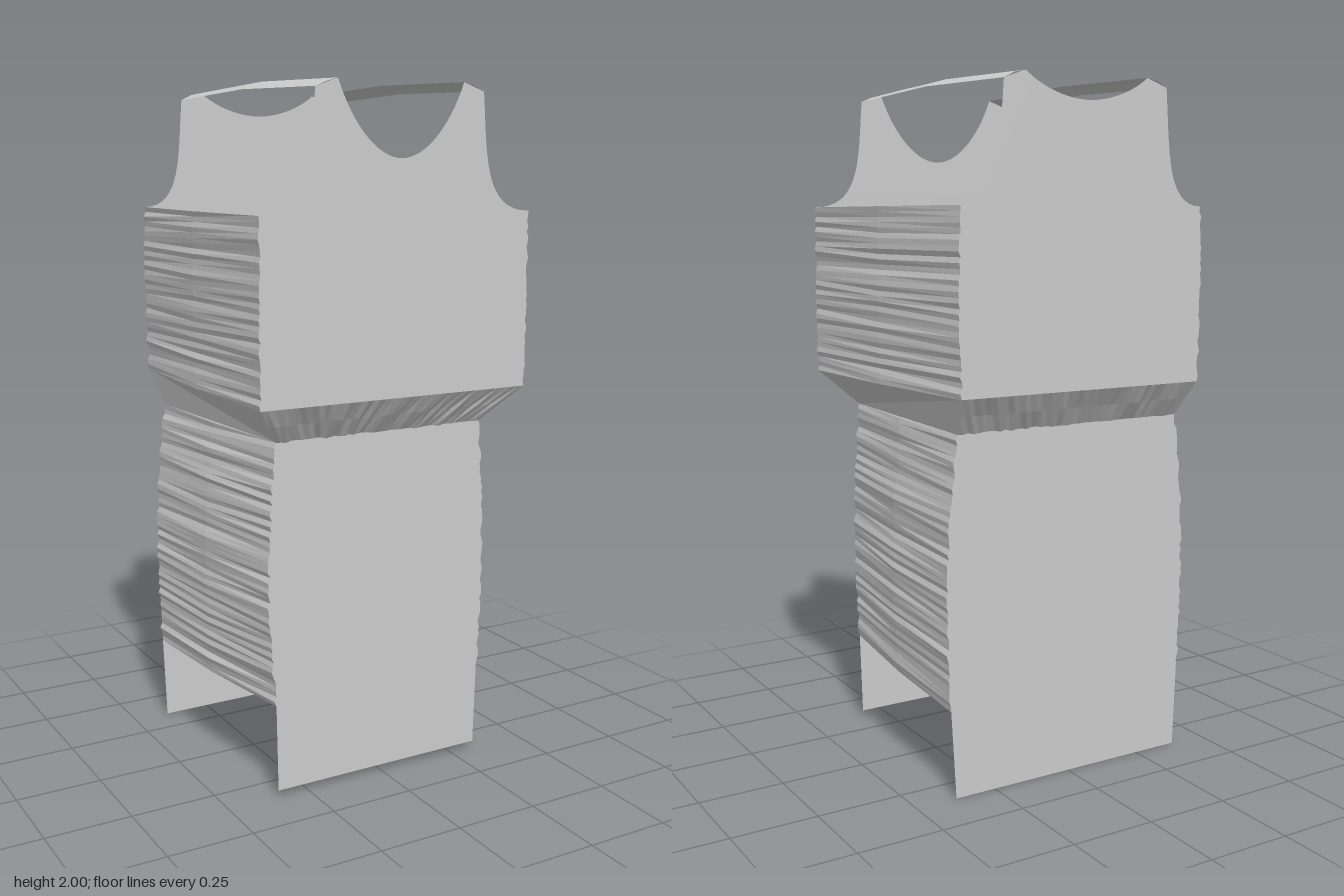
import * as THREE from 'three';

const material = new THREE.MeshStandardMaterial({ color: 0xcccccc, flatShading: true, side: THREE.DoubleSide });
const lerp = THREE.MathUtils.lerp;

// repeatable jitter in -1..1 for the gathered fabric
const noise = (i, seed) => {
  const s = Math.sin(i * 12.9898 + seed * 78.233) * 43758.5453;
  return (s - Math.floor(s)) * 2 - 1;
};

// surface spanned by rows of [x, y, z] points
function sheet(name, rows) {
  const w = rows[0].length, index = [];
  for (let r = 0; r < rows.length - 1; r++) {
    for (let c = 0; c < w - 1; c++) {
      const a = r * w + c, b = a + w;
      index.push(a, a + 1, b, a + 1, b + 1, b);
    }
  }
  const geometry = new THREE.BufferGeometry();
  geometry.setAttribute('position', new THREE.Float32BufferAttribute(rows.flat(2), 3));
  geometry.setIndex(index);
  geometry.computeVertexNormals();
  const mesh = new THREE.Mesh(geometry, material);
  mesh.name = name;
  return mesh;
}

// flat panel cut from a shape and placed at depth z
function panel(name, shape, z) {
  const mesh = new THREE.Mesh(new THREE.ShapeGeometry(shape, 16), material);
  mesh.name = name;
  mesh.position.z = z;
  return mesh;
}

// ragged seam running upward: x follows a quadratic bow from low to high
function seam(side, seed, [y0, y1], [low, middle, high], rows, amount) {
  const points = [];
  for (let i = 0; i <= rows; i++) {
    const t = i / rows;
    const bow = low * (1 - t) * (1 - 2 * t) + middle * 4 * t * (1 - t) + high * t * (2 * t - 1);
    const ragged = i === 0 || i === rows ? 0 : amount * noise(i, seed);
    points.push([side * (bow + ragged), lerp(y0, y1, t)]);
  }
  return points;
}

// side panel between a front and a back seam, with a slightly bulging middle
function sidePanel(name, side, front, back, z, bulge, seed) {
  return sheet(name, front.map(([fx, fy], i) => {
    const [bx, by] = back[i];
    const mx = (fx + bx) / 2 + side * (bulge + 0.004 * noise(i, seed));
    return [[fx, fy, z], [mx, (fy + by) / 2, 0], [bx, by, -z]];
  }));
}

// bodice outline with scooped armholes and neckline
function bodiceShape(left, right, neckY) {
  const shape = new THREE.Shape();
  const [ax, ay] = right[right.length - 1];
  const [bx] = left[left.length - 1];
  shape.moveTo(...left[0]);
  right.forEach(p => shape.lineTo(...p));
  shape.bezierCurveTo(0.27, ay, 0.28, 1.8, 0.265, 1.965);
  shape.lineTo(0.198, 1.988);
  shape.bezierCurveTo(0.15, lerp(neckY, 2, 0.35), 0.07, neckY, 0, neckY);
  shape.bezierCurveTo(-0.07, neckY, -0.15, lerp(neckY, 2, 0.35), -0.198, 1.988);
  shape.lineTo(-0.265, 1.965);
  shape.bezierCurveTo(-0.28, 1.8, -0.27, ay, bx, ay);
  left.slice().reverse().forEach(p => shape.lineTo(...p));
  return shape;
}

// skirt outline: ragged seams above, straight hem below
function skirtShape(left, right, hemLeft, hemRight, hemY) {
  const shape = new THREE.Shape();
  shape.moveTo(hemLeft, hemY);
  shape.lineTo(hemRight, hemY);
  right.forEach(p => shape.lineTo(...p));
  left.slice().reverse().forEach(p => shape.lineTo(...p));
  return shape;
}

export function createModel() {
  const group = new THREE.Group();
  const zBodice = 0.425, zSkirt = 0.35;
  const bodiceY = [1.135, 1.64];

  // seams of bodice and skirt
  const bf = {}, bb = {}, sf = {}, sb = {};
  for (const [key, side] of [['left', 1], ['right', -1]]) {
    bf[key] = seam(side, 1 + side, bodiceY, [0.43, 0.43, 0.43], 34, 0.004);
    bb[key] = seam(side, 5 + side, bodiceY, [0.395, 0.4, 0.395], 34, 0.004);
    const front = side > 0 ? [0.337, 0.347, 0.325] : [0.35, 0.37, 0.345];
    const back = side > 0 ? [0.39, 0.4, 0.365] : [0.4, 0.408, 0.375];
    sf[key] = seam(side, 9 + side, [0.275, 1.03], front, 52, 0.005);
    sb[key] = seam(side, 13 + side, [0.255, 1.03], back, 52, 0.005);
  }

  // flat front and back panels (the wearer's right lies at -x)
  group.add(
    panel('bodiceFront', bodiceShape(bf.right, bf.left, 1.785), zBodice),
    panel('bodiceBack', bodiceShape(bb.right, bb.left, 1.92), -zBodice),
    panel('skirtFront', skirtShape(sf.right, sf.left, -0.345, 0.33, 0.02), zSkirt),
    panel('skirtBack', skirtShape(sb.right, sb.left, -0.39, 0.375, 0), -zSkirt),
  );

  for (const [key, side] of [['left', 1], ['right', -1]]) {
    // gathered sides
    group.add(sidePanel(key + 'BodiceSide', side, bf[key], bb[key], zBodice, 0.01, 20 + side));
    group.add(sidePanel(key + 'SkirtSide', side, sf[key], sb[key], zSkirt, 0.012, 24 + side));

    // side of the waist, folded along its diagonal
    const topFront = [...bf[key][0], zBodice], topBack = [...bb[key][0], -zBodice];
    const lowFront = [...sf[key].at(-1), zSkirt], lowBack = [...sb[key].at(-1), -zSkirt];
    group.add(sheet(key + 'WaistSide', [[topFront, topBack], [lowFront, lowBack]]));

    // shoulder strap, gently arched from front to back
    group.add(sheet(key + 'ShoulderStrap', [-1, -0.5, 0, 0.5, 1].map(t => {
      const lift = 0.012 * (1 - Math.abs(t));
      const inner = 0.198 + 0.003 * (1 - Math.abs(t));
      return [
        [side * inner, 1.988 + lift, t * zBodice],
        [side * 0.232, 1.98 + lift + 0.002 * noise(t * 4, side), t * zBodice],
        [side * 0.265, 1.965 + lift, t * zBodice],
      ];
    })));
  }

  // gathered waist ramps, front and back
  for (const [name, dir, top, low] of [['waistFront', 1, bf, sf], ['waistBack', -1, bb, sb]]) {
    const columns = 44;
    const rows = [0, 0.5, 1].map(t => {
      const row = [];
      for (let i = 0; i <= columns; i++) {
        const u = i / columns;
        const xTop = lerp(top.right[0][0], top.left[0][0], u);
        const xLow = lerp(low.right.at(-1)[0], low.left.at(-1)[0], u);
        const inside = i > 0 && i < columns ? 1 : 0;
        const pucker = t === 0.5 ? inside * 0.005 * noise(i, 30 + dir) : 0;
        const ragged = t === 1 ? inside * 0.003 * noise(i, 34 + dir) : 0;
        row.push([lerp(xTop, xLow, t), lerp(1.135, 1.03, t) + ragged, dir * (lerp(zBodice, zSkirt, t) + pucker)]);
      }
      return row;
    });
    group.add(sheet(name, rows));
  }

  return group;
}
